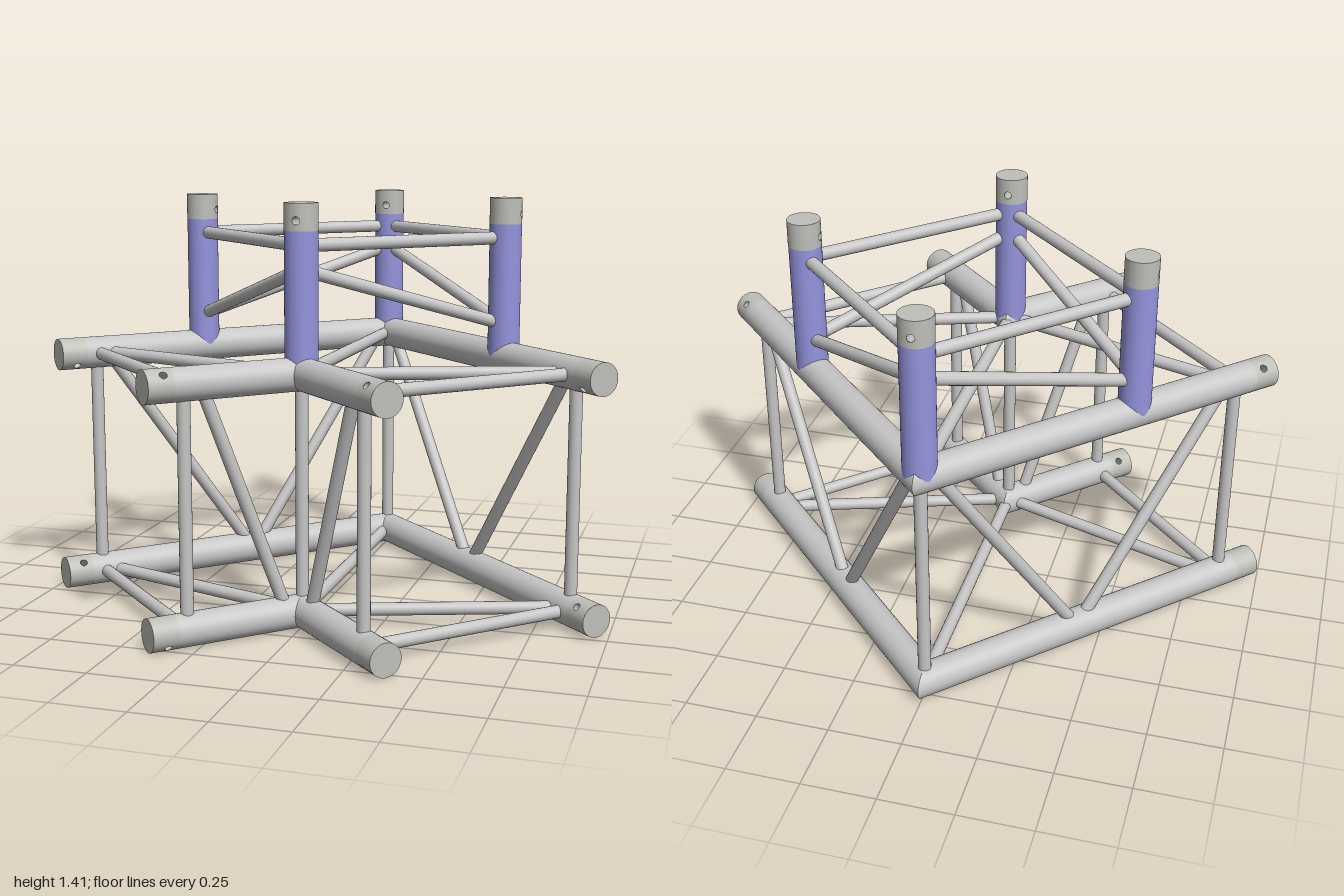
import * as THREE from 'three';
import { mergeGeometries } from 'three/addons/utils/BufferGeometryUtils.js';

const R = 0.056;            // main tube radius
const BRACE = 0.022;        // brace radius
const CAP = 0.09;           // length of an end sleeve
const LOW = 0.056, HIGH = 0.859;
const OUTER_Z = -0.74, INNER_Z = 0.385;
const MID_Z = (OUTER_Z + INNER_Z) / 2, HALF = (INNER_Z - OUTER_Z) / 2;
const V = (x, y, z) => new THREE.Vector3(x, y, z);

export function createModel() {
  const model = new THREE.Group();
  const grey = new THREE.MeshStandardMaterial({ color: 0xc6c6c6, side: THREE.DoubleSide });
  grey.name = 'aluminium grey';
  const sleeveGrey = new THREE.MeshStandardMaterial({ color: 0xbfbfba, side: THREE.DoubleSide });
  sleeveGrey.name = 'sleeve grey';
  const violet = new THREE.MeshStandardMaterial({ color: 0x9494de });
  violet.name = 'post violet';

  function add(name, geometry, material) {
    const mesh = new THREE.Mesh(geometry, material);
    mesh.name = name;
    model.add(mesh);
    return mesh;
  }

  // Straight round bar between two points
  function bar(name, a, b, radius = BRACE, material = grey) {
    const d = b.clone().sub(a);
    const mesh = add(name, new THREE.CylinderGeometry(radius, radius, d.length(), radius > 0.03 ? 40 : 20), material);
    mesh.position.copy(a).add(b).multiplyScalar(0.5);
    mesh.quaternion.setFromUnitVectors(V(0, 1, 0), d.normalize());
  }

  // Sleeve wall with a cross bore along local z, closed at the far end
  function sleeveGeometry() {
    const A = 0.4, w = A * R, hole = 0.013, holeY = 0.034;
    const parts = [];
    for (const turn of [0, Math.PI]) {
      const wall = new THREE.CylinderGeometry(R, R, CAP, 18, 1, true, A + turn, Math.PI - 2 * A);
      parts.push(wall.translate(0, CAP / 2, 0));
      // Flat patch with a hole, bent round the tube
      const shape = new THREE.Shape();
      for (let i = 0; i <= 6; i++) {
        const x = -w + w * i / 3;
        if (i) shape.lineTo(x, 0); else shape.moveTo(x, 0);
      }
      for (let i = 6; i >= 0; i--) shape.lineTo(-w + w * i / 3, CAP);
      const path = new THREE.Path();
      path.absarc(0, holeY, hole, 0, Math.PI * 2, true);
      shape.holes.push(path);
      const patch = new THREE.ShapeGeometry(shape, 12);
      const p = patch.attributes.position, n = patch.attributes.normal;
      for (let i = 0; i < p.count; i++) {
        const t = p.getX(i) / R + turn;
        p.setXYZ(i, R * Math.sin(t), p.getY(i), R * Math.cos(t));
        n.setXYZ(i, Math.sin(t), 0, Math.cos(t));
      }
      parts.push(patch);
    }
    parts.push(new THREE.CircleGeometry(R, 40).rotateX(-Math.PI / 2).translate(0, CAP, 0));
    parts.push(new THREE.CylinderGeometry(hole, hole, 2 * R - 0.003, 20, 1, true)
      .rotateX(Math.PI / 2).translate(0, holeY, 0));
    return mergeGeometries(parts);
  }
  const sleeve = sleeveGeometry();

  function addSleeve(name, end, dir, bore) {
    const mesh = add(name, sleeve, sleeveGrey);
    const basis = new THREE.Matrix4().makeBasis(dir.clone().cross(bore), dir, bore);
    mesh.quaternion.setFromRotationMatrix(basis);
    mesh.position.copy(end).addScaledVector(dir, -CAP);
  }

  // Points on the two horizontal arms, measured by distance from the centre plane
  const outer = (x, y, side) => V(side * x, y, OUTER_Z + x);
  const inner = (x, y, side) => V(side * x, y, INNER_Z + x);

  // Main tube, mitred on the centre plane, with its end sleeve
  function arm(name, point, endX, y, side, inward) {
    const dir = V(side, 0, 1).normalize();
    const end = point(endX, y, side);
    const length = endX * Math.SQRT2 - CAP;
    const geometry = new THREE.CylinderGeometry(R, R, length, 48, 1, true);
    geometry.translate(0, length / 2, 0);
    const across = V(-side, 0, 1).normalize();
    geometry.applyMatrix4(new THREE.Matrix4().makeBasis(dir.clone().cross(across), dir, across));
    const p = geometry.attributes.position;
    for (let i = 0; i < p.count; i++) {
      const v = V(0, 0, 0).fromBufferAttribute(p, i);
      if (v.dot(dir) < length / 2) v.addScaledVector(dir, v.dot(across));
      p.setXYZ(i, v.x, v.y, v.z);
    }
    add(name, geometry, grey).position.copy(point(0, y, side));
    const bore = across.multiplyScalar(inward).add(V(0, y === LOW ? 1 : -1, 0)).normalize();
    addSleeve(name + 'Sleeve', end, dir, bore);
  }

  for (const side of [1, -1]) {
    for (const y of [LOW, HIGH]) {
      arm('outerArm', outer, 0.9604, y, side, 1);
      arm('innerArm', inner, 0.392, y, side, -1);
      // Horizontal bracing between the arms
      bar('endCrossBar', outer(0.86, y, side), inner(0.2975, y, side));
      bar('horizontalDiagonal', V(0, y, INNER_Z), outer(0.84, y, side));
    }
    // Uprights and diagonals in the vertical faces
    bar('outerUpright', outer(0.86, LOW, side), outer(0.86, HIGH, side));
    bar('innerUpright', inner(0.295, LOW, side), inner(0.295, HIGH, side));
    bar('outerDiagonal', outer(0.43, LOW, side), outer(0.83, HIGH, side));
    bar('cornerDiagonal', outer(0.42, LOW, side), outer(0.03, HIGH, side));
    bar('innerDiagonal', inner(0.04, LOW, side), inner(0.255, HIGH, side));
  }

  // Corner uprights and the ties between the corners
  for (const z of [OUTER_Z, INNER_Z]) bar('cornerUpright', V(0, LOW, z), V(0, HIGH, z));
  for (const y of [LOW, HIGH]) bar('cornerTie', V(0, y, OUTER_Z), V(0, y, INNER_Z));

  // Four standing posts in a square, with their bracing
  const top = 1.415;
  const corner = (i, y) => V(HALF * Math.round(Math.sin(i * Math.PI / 2)), y,
    MID_Z + HALF * Math.round(Math.cos(i * Math.PI / 2)));
  for (let i = 0; i < 4; i++) {
    bar('post', corner(i, 0.865), corner(i, top - CAP), R - 0.0005, violet);
    const bore = V(0, top, MID_Z).sub(corner(i, top)).normalize();
    addSleeve('postSleeve', corner(i, top), V(0, 1, 0), bore);
    bar('postTopRail', corner(i, 1.277), corner(i + 1, 1.277));
    const rise = [1.2, 0.975];
    bar('postDiagonal', corner(i, rise[i % 2]), corner(i + 1, rise[(i + 1) % 2]));
  }
  return model;
}
